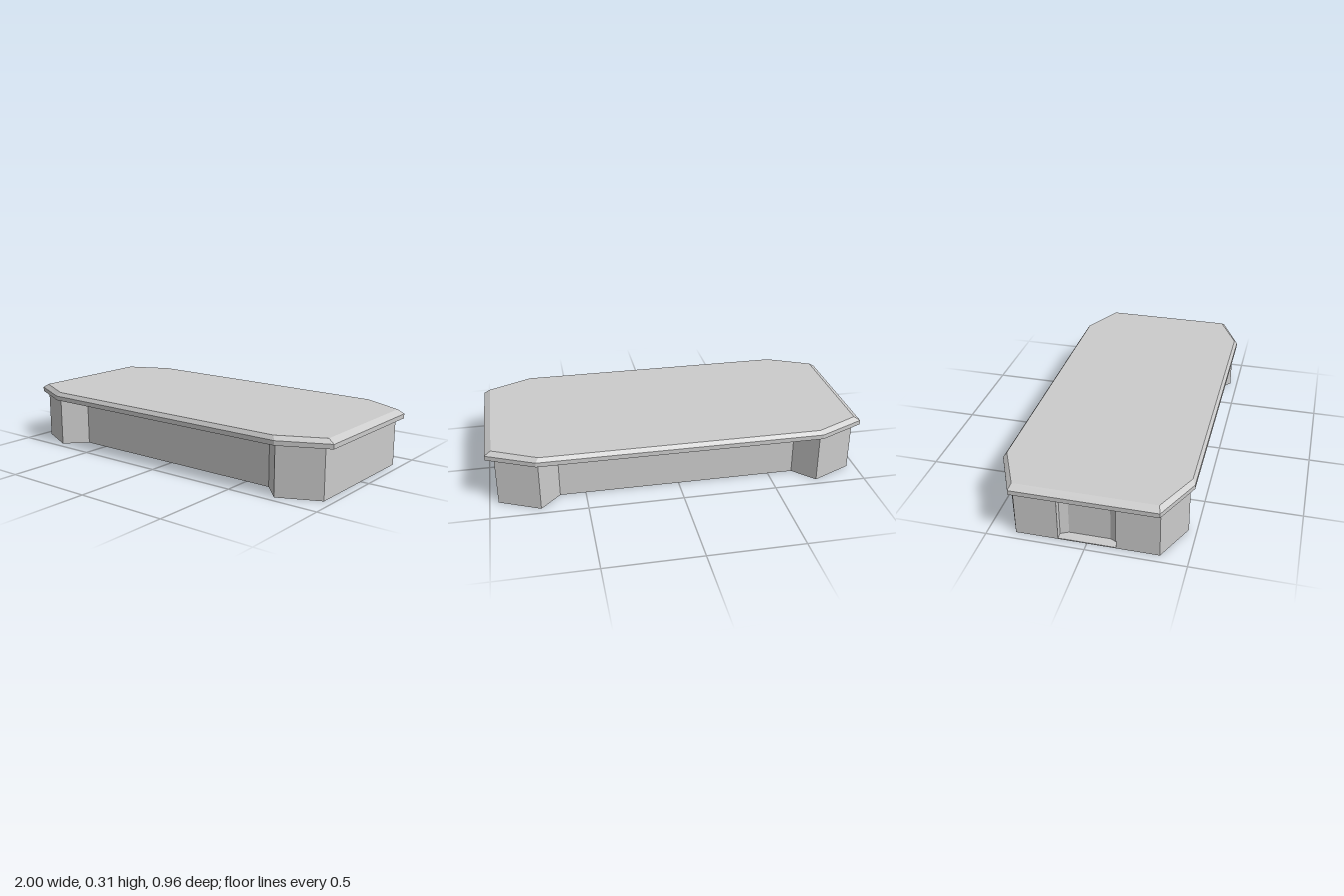
import * as THREE from 'three';

const material = new THREE.MeshStandardMaterial({ color: 0xcccccc, flatShading: true });

// Upright prism from a plan outline of [x, z] points
function prism(name, points, y, height) {
  const shape = new THREE.Shape(points.map(([x, z]) => new THREE.Vector2(x, -z)));
  const geometry = new THREE.ExtrudeGeometry(shape, { depth: height, bevelEnabled: false });
  geometry.rotateX(-Math.PI / 2).translate(0, y, 0);
  const mesh = new THREE.Mesh(geometry, material);
  mesh.name = name;
  return mesh;
}

// Eight-sided plan, given half sizes and the ends of the cut corners
const octagon = (x, z, cutX, cutZ) => [
  [x, -cutZ], [x, cutZ], [cutX, z], [-cutX, z],
  [-x, cutZ], [-x, -cutZ], [-cutX, -z], [cutX, -z],
];

// Continues a half outline with its front-to-back mirror image
const mirrorZ = (points) => [...points, ...points.map(([x, z]) => [x, -z]).reverse()];

// Closed solid through a stack of rings, each { y, points }
function loft(name, rings) {
  const pos = [];
  const n = rings[0].points.length;
  const put = (ring, i) => pos.push(ring.points[i % n][0], ring.y, ring.points[i % n][1]);
  for (let r = 0; r < rings.length - 1; r++) {
    const lo = rings[r], hi = rings[r + 1];
    for (let i = 0; i < n; i++) {
      put(lo, i); put(hi, i); put(hi, i + 1);
      put(lo, i); put(hi, i + 1); put(lo, i + 1);
    }
  }
  const bottom = rings[0], top = rings[rings.length - 1];
  for (let i = 1; i < n - 1; i++) {
    put(bottom, 0); put(bottom, i); put(bottom, i + 1);
    put(top, 0); put(top, i + 1); put(top, i);
  }
  const geometry = new THREE.BufferGeometry();
  geometry.setAttribute('position', new THREE.Float32BufferAttribute(pos, 3));
  geometry.computeVertexNormals();
  const mesh = new THREE.Mesh(geometry, material);
  mesh.name = name;
  return mesh;
}

export function createModel() {
  const group = new THREE.Group();
  group.name = 'platform';

  // Base plan: cut corners, recessed long sides
  const corner = [[-0.635, 0.35], [-0.74, 0.46], [-0.955, 0.36]];
  // Pocket in the right end, with angled inner corners
  const pocket = [[-0.955, 0.145], [-0.92, 0.145], [-0.9, 0.105]];

  const rightEnd = mirrorZ(corner);
  const rightEndWithPocket = mirrorZ([...corner, ...pocket]);
  const leftEnd = rightEnd.map(([x, z]) => [-x, z]).reverse();

  group.add(prism('baseFloor', [...rightEnd, ...leftEnd], 0, 0.005));
  group.add(prism('base', [...rightEndWithPocket, ...leftEnd], 0.005, 0.258));

  // Overhanging top with a bevelled rim
  const rim = octagon(1, 0.482, 0.75, 0.365);
  group.add(loft('top', [
    { y: 0.263, points: rim },
    { y: 0.287, points: rim },
    { y: 0.308, points: octagon(0.966, 0.467, 0.734, 0.355) },
  ]));
  return group;
}
